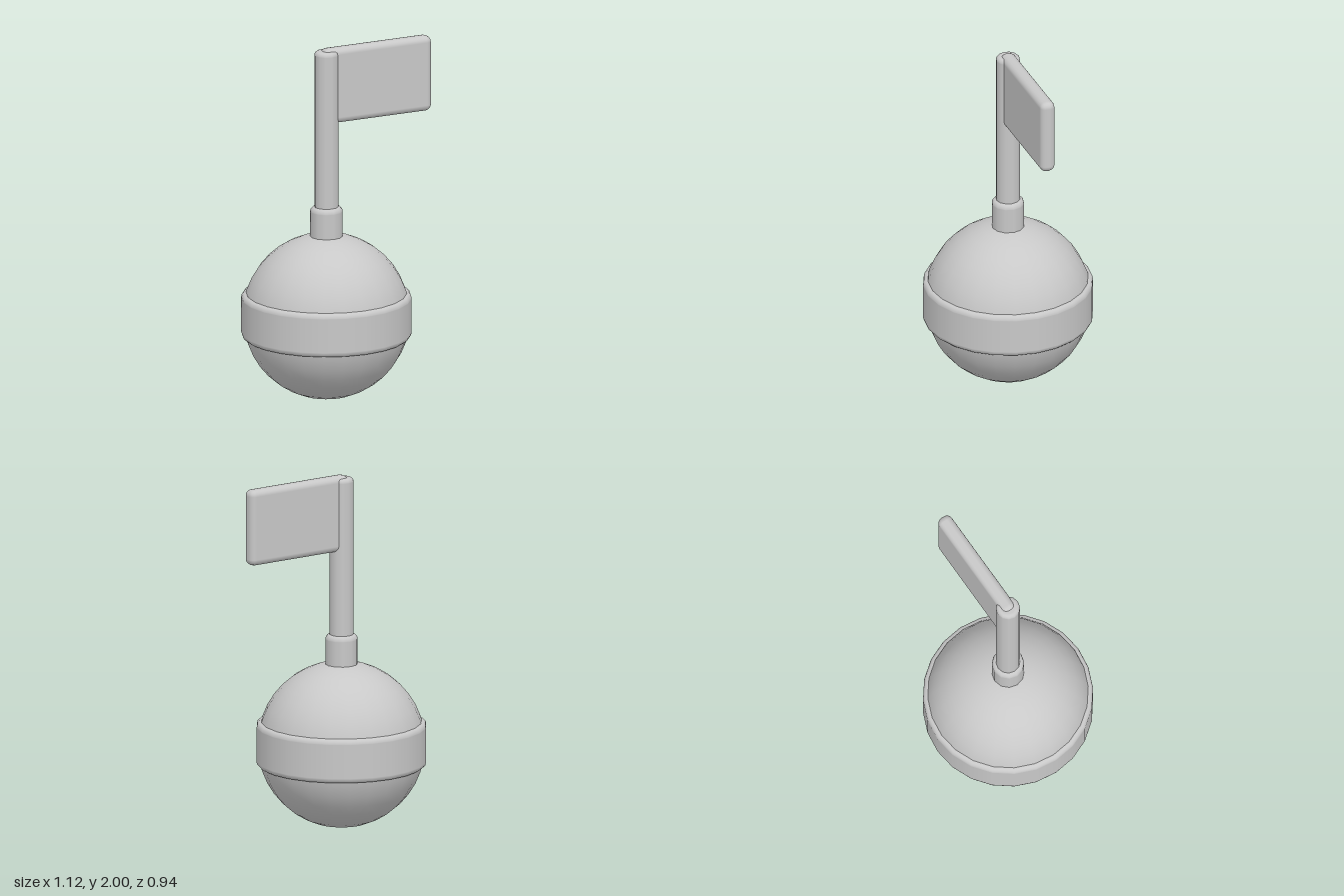
import * as THREE from 'three';
import { RoundedBoxGeometry } from 'three/addons/geometries/RoundedBoxGeometry.js';

const AXIS_X = -0.09;
const grey = new THREE.MeshStandardMaterial({ color: 0xc8c8c8 });
grey.name = 'light grey';

// Turned solid with rounded rims; extra points keep the straight walls evenly shaded
function turned(radius, bottom, top, bevel, sides) {
  const points = [new THREE.Vector2(0, bottom), new THREE.Vector2(radius - bevel - 0.004, bottom)];
  const steps = 3;
  for (const [y, start] of [[bottom + bevel, -Math.PI / 2], [top - bevel, 0]]) {
    if (start === 0) points.push(new THREE.Vector2(radius, y - 0.004));
    for (let i = 0; i <= steps; i++) {
      const a = start + (i / steps) * Math.PI / 2;
      points.push(new THREE.Vector2(radius - bevel + bevel * Math.cos(a), y + bevel * Math.sin(a)));
    }
    if (start < 0) points.push(new THREE.Vector2(radius, y + 0.004));
  }
  points.push(new THREE.Vector2(radius - bevel - 0.004, top), new THREE.Vector2(0, top));
  return new THREE.LatheGeometry(points, sides);
}

export function createModel() {
  const model = new THREE.Group();
  model.name = 'flagOnBall';

  function add(name, geometry, x, y) {
    const mesh = new THREE.Mesh(geometry, grey);
    mesh.name = name;
    mesh.position.set(x, y, 0);
    model.add(mesh);
  }

  // Ball and the belt around its middle
  add('ball', new THREE.SphereGeometry(0.465, 24, 20), AXIS_X, 0.47);
  add('belt', turned(0.472, 0.35, 0.6, 0.025, 24), AXIS_X, 0);

  // Collar and pole
  add('collar', turned(0.09, 0.85, 1.095, 0.025, 12), AXIS_X, 0);
  add('pole', turned(0.067, 0.88, 1.985, 0.02, 12), AXIS_X, 0);

  // Thick flag with rounded edges, set into the pole
  add('flag', new RoundedBoxGeometry(0.675, 0.43, 0.086, 2, 0.036), 0.2175, 1.785);

  return model;
}
